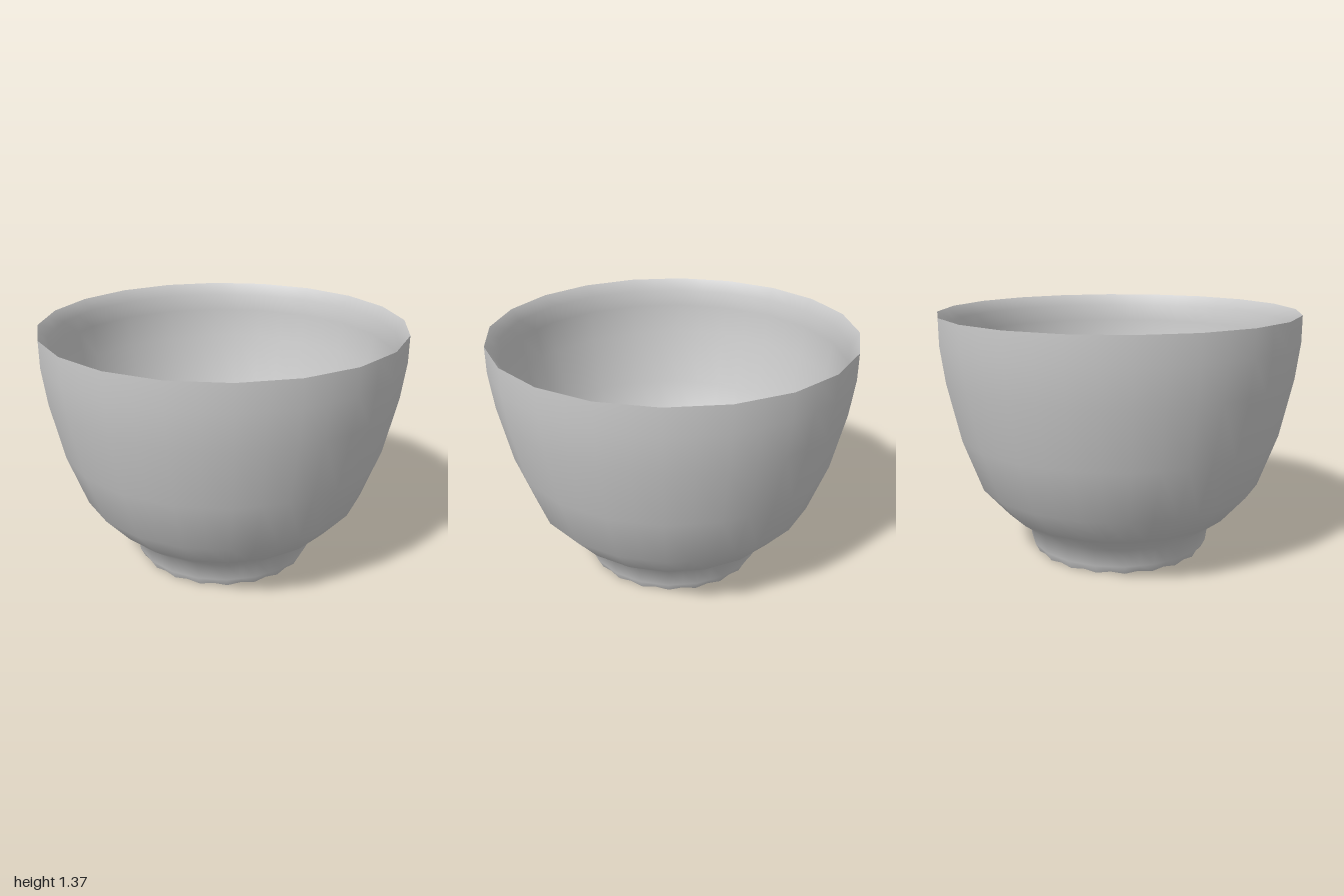
import * as THREE from 'three';

const SIDES = 20;

// Turned shell: 20 flat-ish sides, with a slightly scalloped ring at the foot
function turned(name, profile, scallopBelow, material) {
  const points = profile.map(([r, y]) => new THREE.Vector2(r, y));
  const geometry = new THREE.LatheGeometry(points, SIDES * 2);
  const pos = geometry.attributes.position;
  const inset = Math.cos(Math.PI / SIDES);
  for (let i = 0; i < pos.count; i++) {
    const column = Math.floor(i / points.length);
    if (column % 2 === 0) continue;
    const radius = Math.hypot(pos.getX(i), pos.getZ(i));
    const lift = pos.getY(i) < scallopBelow && radius > 0.4 ? 0.01 : 0;
    pos.setXYZ(i, pos.getX(i) * inset, pos.getY(i) + lift, pos.getZ(i) * inset);
  }
  const mesh = new THREE.Mesh(geometry, material);
  mesh.name = name;
  return mesh;
}

export function createModel() {
  const group = new THREE.Group();
  group.name = 'bowl';
  const material = new THREE.MeshStandardMaterial({ color: 0xcccccc, side: THREE.DoubleSide });

  // Outer wall with the foot
  group.add(turned('outerWall', [
    [0.49, 0], [0.515, 0.05], [0.53, 0.15], [0.66, 0.25], [0.8, 0.41],
    [0.905, 0.7], [0.975, 1.02], [1, 1.22], [1, 1.365],
  ], 0.02, material));

  // Bevelled lip, inner wall and floor
  group.add(turned('innerWall', [
    [1, 1.365], [0.955, 1.3], [0.953, 1.2], [0.93, 1.02], [0.86, 0.71],
    [0.76, 0.43], [0.62, 0.28], [0.505, 0.18], [0.485, 0.07], [0.45, 0.05], [0, 0.05],
  ], 0.08, material));

  // Underside of the foot
  group.add(turned('base', [[0, 0.01], [0.38, 0.01], [0.49, 0]], 0.02, material));

  return group;
}
